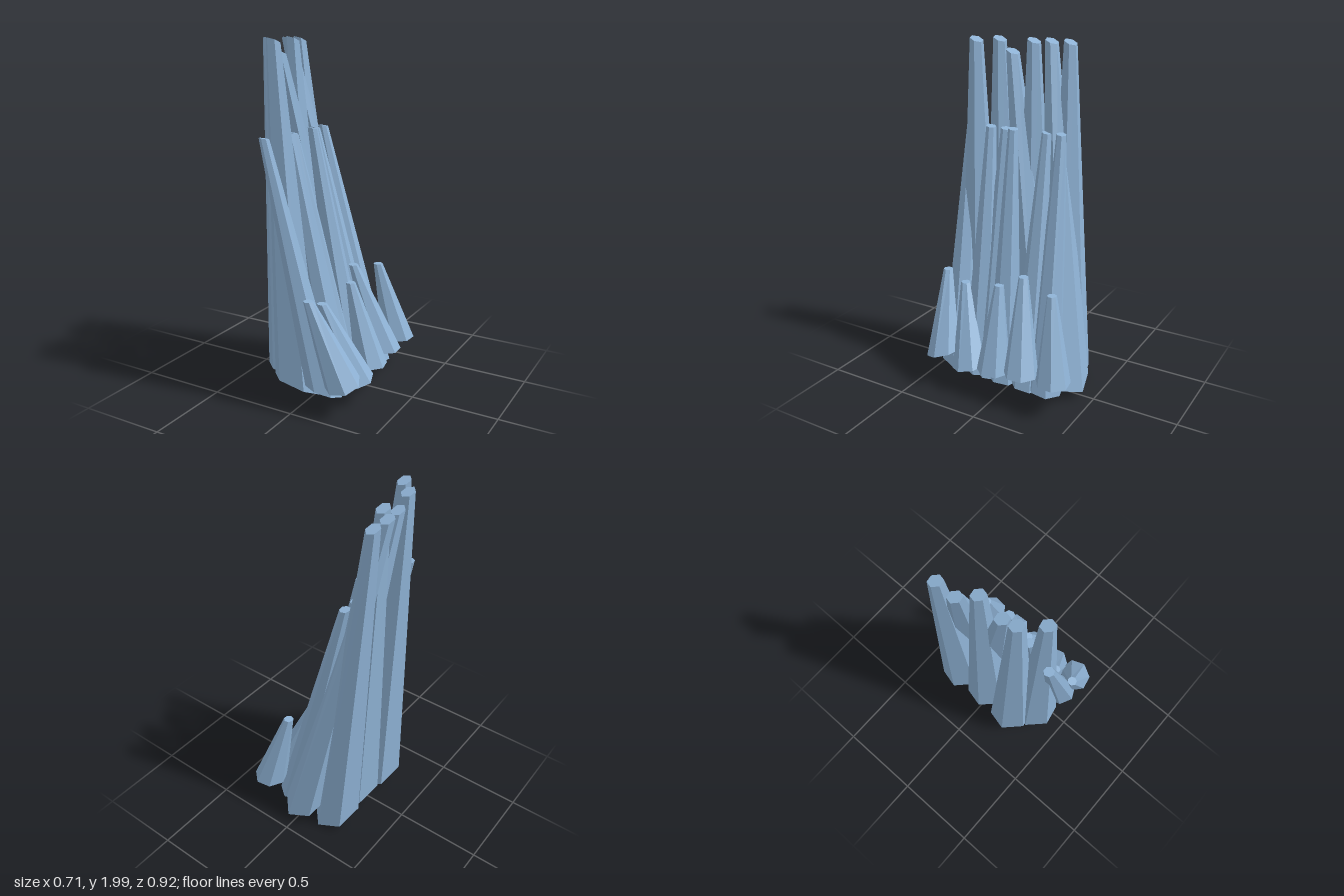
import * as THREE from 'three';

// Tapered prism between two centres; each end cap is tilted by [slopeX, slopeZ].
function makeShard(row, base, top, baseTilt, phase) {
  const geo = new THREE.CylinderGeometry(row.rTop, row.rBase, 1, row.sides, 1, false, phase);
  const pos = geo.attributes.position;
  for (let i = 0; i < pos.count; i++) {
    const upper = pos.getY(i) > 0;
    const c = upper ? top : base;
    const tilt = upper ? row.topTilt : baseTilt;
    const x = pos.getX(i), z = pos.getZ(i);
    pos.setXYZ(i, c[0] + x, c[1] + x * tilt[0] + z * tilt[1], c[2] + z);
  }
  geo.computeVertexNormals();
  return geo;
}

// Each shard: [base centre, top centre, optional base tilt]
const ROWS = [
  {
    name: 'tallShard', sides: 6, rBase: 0.14, rTop: 0.039,
    baseTilt: [-0.25, 0.45], topTilt: [-0.15, 0.38], phase: 0.75, twist: 0,
    shards: [
      [[-0.18, 0.085, -0.235], [-0.318, 1.98, -0.143]],
      [[-0.01, 0.13, -0.31], [-0.318, 1.98, -0.027]],
      [[-0.17, 0.09, -0.02], [-0.245, 1.985, 0.045]],
      [[-0.03, 0.1, -0.15], [-0.243, 1.92, 0.18]],
      [[-0.185, 0.085, 0.195], [-0.243, 1.985, 0.265]],
      [[-0.07, 0.085, 0.3], [-0.155, 1.985, 0.365]],
    ],
  },
  {
    name: 'middleShard', sides: 7, rBase: 0.103, rTop: 0.029,
    baseTilt: [-0.1, 0.15], topTilt: [-0.1, 0.15], phase: 0.25, twist: 0.13,
    shards: [
      [[0.12, 0.08, -0.25], [-0.18, 1.495, -0.168]],
      [[0.12, 0.08, -0.13], [-0.18, 1.495, -0.077]],
      [[0.13, 0.09, 0.02], [-0.093, 1.515, 0.09]],
      [[0.12, 0.09, 0.115], [-0.162, 1.495, 0.18]],
      [[0.13, 0.1, 0.19], [-0.133, 1.505, 0.26]],
      [[0.125, 0.12, 0.35], [-0.182, 1.495, 0.425], [-0.2, 0.3]],
    ],
  },
  {
    name: 'shortShard', sides: 7, rBase: 0.1, rTop: 0.028,
    baseTilt: [0, 0], topTilt: [0, 0], phase: 0.15, twist: 0.13,
    shards: [
      [[0.235, 0.2, -0.355], [0.13, 0.67, -0.286]],
      [[0.24, 0.2, -0.155], [0.075, 0.715, -0.075]],
      [[0.24, 0.175, 0.025], [0.126, 0.655, 0.055]],
      [[0.24, 0.155, 0.195], [0.09, 0.605, 0.31], [0, -0.2]],
      [[0.25, 0.2, 0.37], [0.083, 0.66, 0.438], [0.05, -0.3]],
    ],
  },
];

export function createModel() {
  const model = new THREE.Group();
  model.name = 'shardCluster';
  const paleBlue = new THREE.MeshStandardMaterial({ color: 0x8fb3d6, flatShading: true });
  paleBlue.name = 'paleBlue';

  // Three rows, tallest at -x, shortest at +x
  for (const row of ROWS) {
    const group = new THREE.Group();
    group.name = row.name + 'Row';
    row.shards.forEach(([base, top, tilt = row.baseTilt], i) => {
      const geo = makeShard(row, base, top, tilt, row.phase + i * row.twist);
      const mesh = new THREE.Mesh(geo, paleBlue);
      mesh.name = row.name + (i + 1);
      group.add(mesh);
    });
    model.add(group);
  }
  return model;
}
